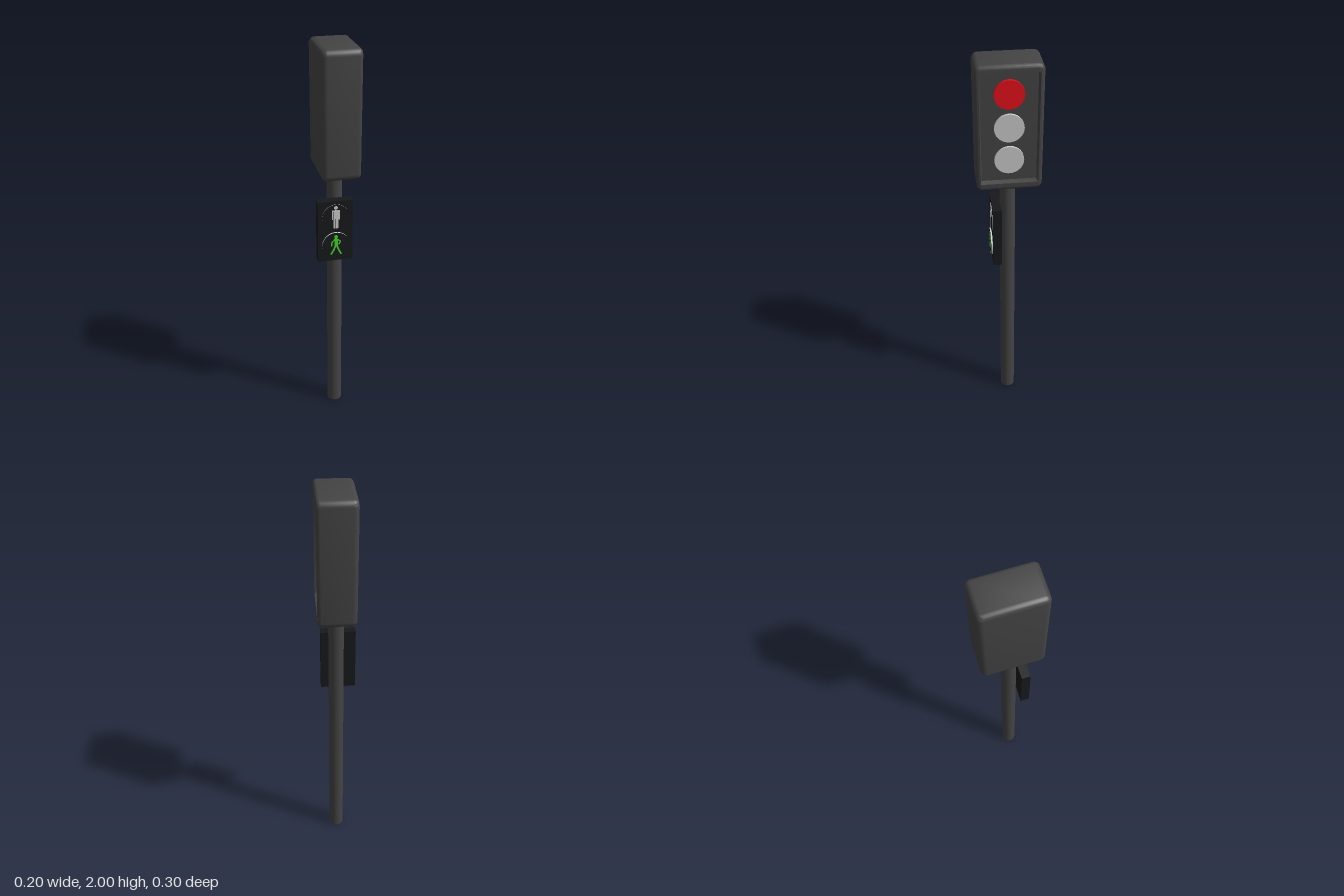
import * as THREE from 'three';
import { toCreasedNormals } from 'three/addons/utils/BufferGeometryUtils.js';

const paint = (color) => new THREE.MeshStandardMaterial({ color });
const casing = paint(0x444444);
const black = paint(0x18191b);
const grey = paint(0xcccccc);
const red = paint(0xe6101a);
const green = paint(0x44d62c);

function add(parent, name, geometry, material, x = 0, y = 0, z = 0) {
  const mesh = new THREE.Mesh(geometry, material);
  mesh.name = name;
  mesh.position.set(x, y, z);
  parent.add(mesh);
  return mesh;
}

// Rounded rectangle loop in the y-z plane at a given x
function loop([x, halfZ, halfY, r], steps = 6) {
  const points = [];
  for (let c = 0; c < 4; c++) {
    const sy = c === 0 || c === 3 ? 1 : -1;
    const sz = c < 2 ? 1 : -1;
    for (let i = 0; i <= steps; i++) {
      const a = (c + i / steps) * Math.PI / 2;
      points.push([x, sy * (halfY - r) + r * Math.cos(a), sz * (halfZ - r) + r * Math.sin(a)]);
    }
  }
  return points;
}

// Skin over a row of loops, running from the back out to the rim and into the recess
function skin(sections) {
  const loops = sections.map((s) => loop(s));
  const n = loops[0].length;
  const index = [];
  for (let j = 0; j < loops.length - 1; j++) {
    for (let i = 0; i < n; i++) {
      const a = j * n + i, b = j * n + (i + 1) % n;
      index.push(a, b, a + n, b, b + n, a + n);
    }
  }
  const geometry = new THREE.BufferGeometry();
  geometry.setAttribute('position', new THREE.Float32BufferAttribute(loops.flat(2), 3));
  geometry.setIndex(index);
  return toCreasedNormals(geometry, 0.6);
}

function signalHead() {
  const head = new THREE.Group();
  head.name = 'signalHead';
  head.position.y = 1.695;
  const W = 0.152, H = 0.305, B = 0.026, F = 0.018;
  const sections = [[-0.09, 0, 0, 0]];
  // Rounded back edge, then rounded front edge
  for (let i = 0; i <= 5; i++) {
    const a = i / 5 * Math.PI / 2, d = B * (1 - Math.sin(a));
    sections.push([-0.09 + B * (1 - Math.cos(a)), W - d, H - d, 0.03 - d]);
  }
  for (let i = 0; i <= 5; i++) {
    const a = i / 5 * Math.PI / 2, d = F * (1 - Math.cos(a));
    sections.push([0.096 - F * (1 - Math.sin(a)), W - d, H - d, 0.03 - d]);
  }
  // Recess walls and floor
  sections.push([0.096, 0.133, 0.268, 0.004], [0.07, 0.127, 0.262, 0.003], [0.07, 0, 0, 0]);
  add(head, 'signalCasing', skin(sections), casing);

  ['topLamp', 'middleLamp', 'bottomLamp'].forEach((name, i) => {
    const lamp = add(head, name, new THREE.CylinderGeometry(0.068, 0.068, 0.012, 48),
      i === 0 ? red : grey, 0.075, 0.165 - i * 0.16, 0);
    lamp.rotation.z = -Math.PI / 2;
  });
  return head;
}

// Flat figure made of a head and straight strokes [x1, y1, x2, y2, width]
function figure(name, material, headAt, strokes) {
  const group = new THREE.Group();
  group.name = name;
  const head = add(group, 'figureHead', new THREE.CylinderGeometry(0.0095, 0.0095, 0.002, 20),
    material, headAt[0], headAt[1], 0);
  head.rotation.x = Math.PI / 2;
  for (const [x1, y1, x2, y2, w] of strokes) {
    const limb = add(group, 'figureLimb', new THREE.BoxGeometry(w, Math.hypot(x2 - x1, y2 - y1), 0.002),
      material, (x1 + x2) / 2, (y1 + y2) / 2, 0);
    limb.rotation.z = Math.atan2(y2 - y1, x2 - x1) - Math.PI / 2;
  }
  return group;
}

function crossingSignal() {
  const signal = new THREE.Group();
  signal.name = 'crossingSignal';
  add(signal, 'crossingBox', new THREE.BoxGeometry(0.175, 0.325, 0.043), black, -0.0125, 1.0975, 0.0565);

  // Lenses: pale edge, dark face
  const lens = (name, y, depth) => {
    const disc = add(signal, name, new THREE.CylinderGeometry(0.068, 0.068, depth, 48),
      [grey, black, black], -0.0115, y, 0.078 + depth / 2);
    disc.rotation.x = Math.PI / 2;
    return 0.078 + depth;
  };
  const zStop = lens('stopLens', 1.175, 0.003);
  const zWalk = lens('walkLens', 1.025, 0.008);

  const standing = figure('standingFigure', grey, [0, 0.051], [
    [0, 0.039, 0, -0.008, 0.025],
    [-0.017, 0.038, -0.017, -0.012, 0.007],
    [0.017, 0.038, 0.017, -0.012, 0.007],
    [0, 0.038, 0, 0.031, 0.041],
    [-0.0068, -0.005, -0.0068, -0.06, 0.011],
    [0.0068, -0.005, 0.0068, -0.06, 0.011],
  ]);
  standing.position.set(-0.011, 1.175, zStop);

  const walking = figure('walkingFigure', green, [0, 0.046], [
    [0, 0.036, 0.001, -0.008, 0.018],
    [-0.006, 0.032, -0.021, 0.016, 0.007],
    [-0.021, 0.018, -0.022, -0.004, 0.007],
    [0.006, 0.033, 0.023, 0.018, 0.007],
    [0.023, 0.02, 0.013, 0.002, 0.007],
    [-0.003, -0.003, -0.013, -0.03, 0.009],
    [-0.012, -0.027, -0.026, -0.051, 0.009],
    [0.004, -0.003, 0.014, -0.028, 0.009],
    [0.013, -0.025, 0.026, -0.054, 0.009],
  ]);
  walking.position.set(-0.011, 1.025, zWalk);

  signal.add(standing, walking);
  return signal;
}

export function createModel() {
  const model = new THREE.Group();
  model.name = 'trafficLight';
  add(model, 'pole', new THREE.CylinderGeometry(0.038, 0.038, 1.41, 32), casing, 0, 0.705, 0);
  model.add(signalHead(), crossingSignal());
  return model;
}
